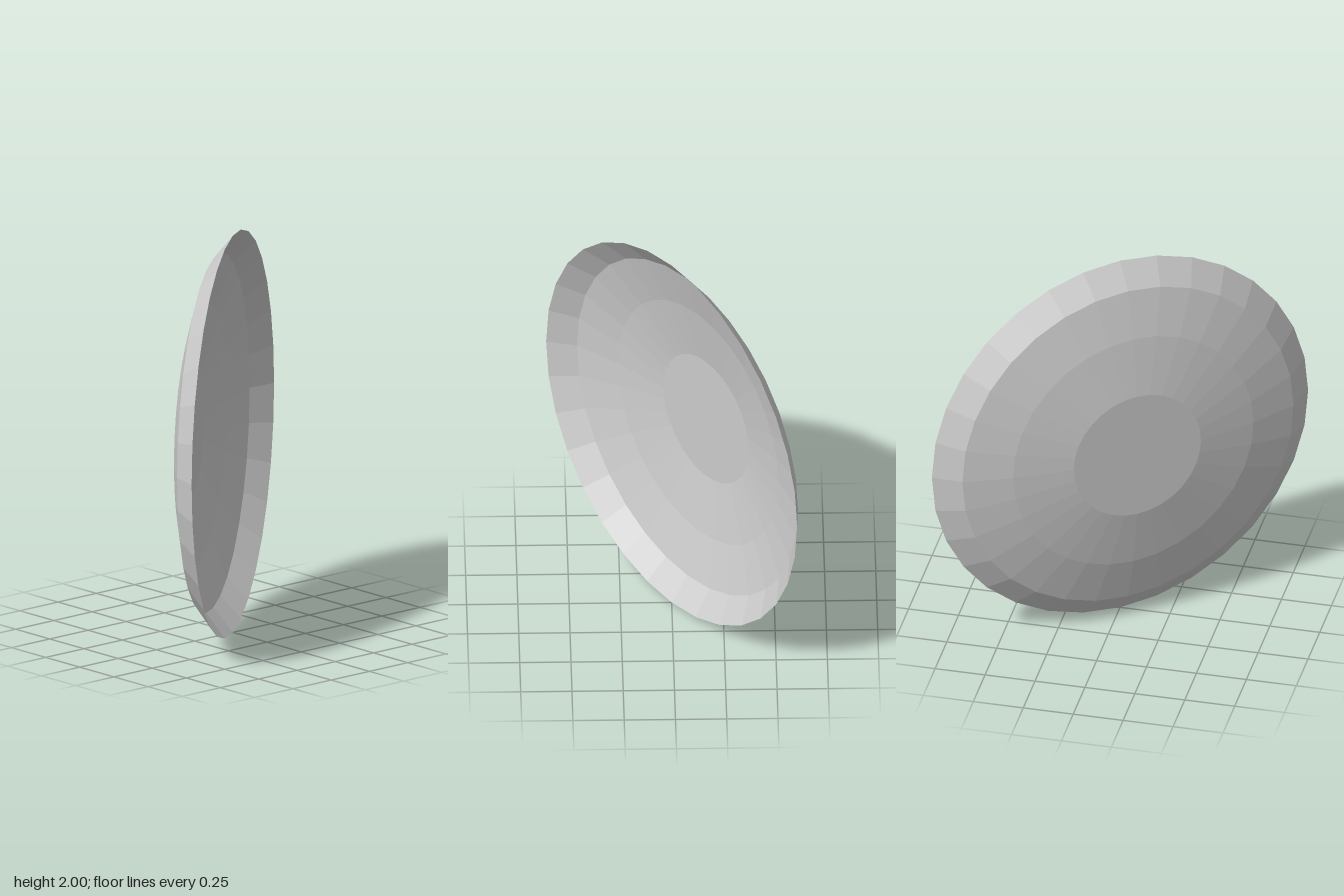
import * as THREE from 'three';

export function createModel() {
  const group = new THREE.Group();
  group.name = 'dish';

  // Shallow bowl profile: [radius, depth] from the flat centre out to the rim
  const profile = [[0, 0.212], [0.338, 0.212], [0.64, 0.162], [0.88, 0.097], [1, 0]]
    .map(([r, d]) => new THREE.Vector2(r, d));

  // Thin open shell, 32 sides, turned so its domed side faces front and right
  const geometry = new THREE.LatheGeometry(profile, 32);
  geometry.rotateX(Math.PI / 2);
  geometry.rotateY(-Math.atan2(0.802, 0.597));

  const shell = new THREE.Mesh(geometry, new THREE.MeshStandardMaterial({
    color: 0xcccccc, flatShading: true, side: THREE.DoubleSide,
  }));
  shell.name = 'dishShell';
  shell.position.y = 1;
  group.add(shell);
  return group;
}
